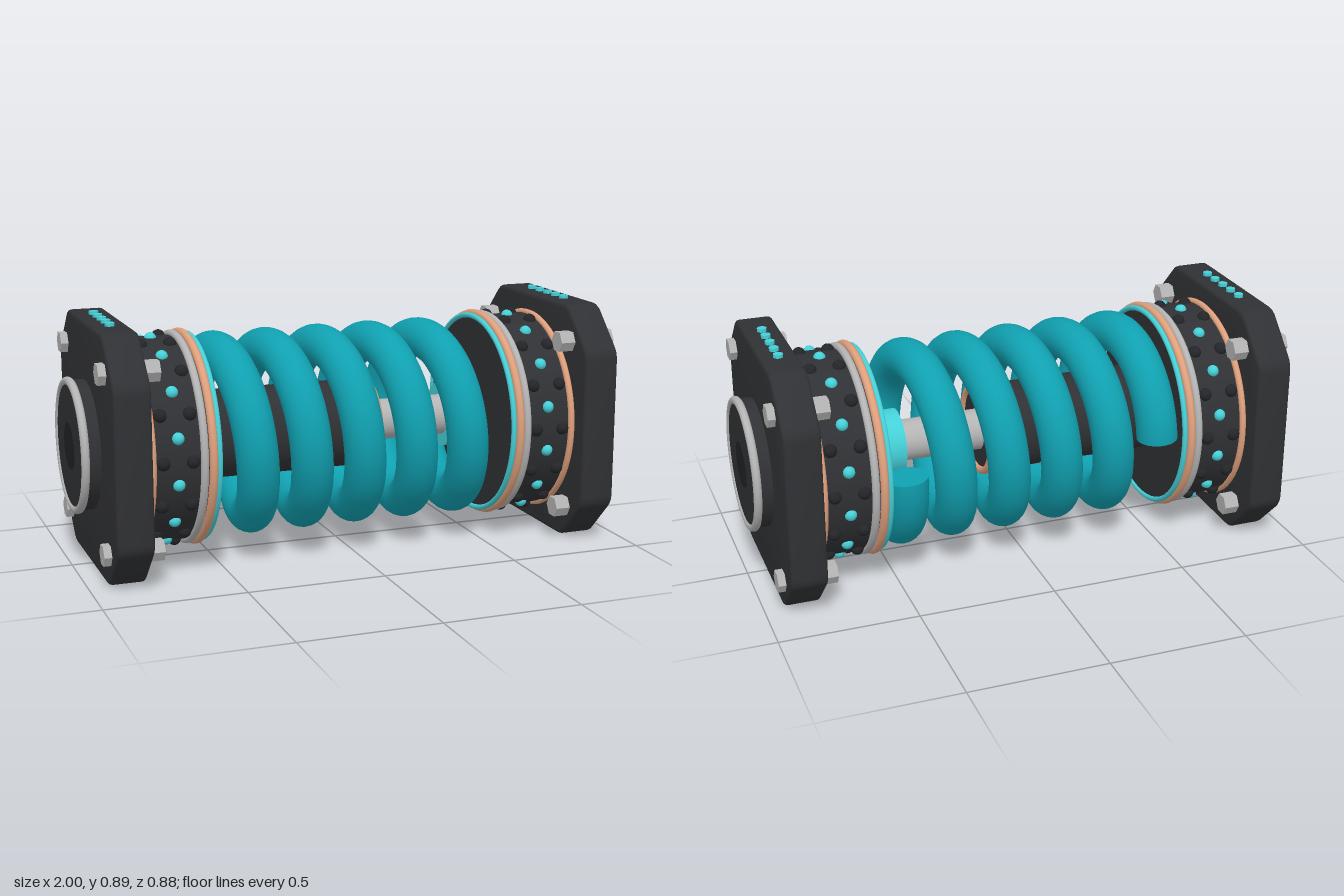
import * as THREE from 'three';
import { toCreasedNormals } from 'three/addons/utils/BufferGeometryUtils.js';

const mat = (color) => new THREE.MeshStandardMaterial({ color });
const DARK = mat(0x303134), BLACK = mat(0x202123), STUD = mat(0x242528);
const STEEL = mat(0xb4b4b4), COPPER = mat(0xdfa07c);
const TEAL = mat(0x10a0b0), CYAN = mat(0x45d0d8);

function add(parent, name, geometry, material, x = 0, y = 0, z = 0) {
  const mesh = new THREE.Mesh(geometry, material);
  mesh.name = name;
  mesh.position.set(x, y, z);
  parent.add(mesh);
  return mesh;
}

// Cylinder lying along x, from x0 to x1
function rod(parent, name, r, x0, x1, material, y = 0, z = 0, sides = 64) {
  const g = new THREE.CylinderGeometry(r, r, Math.abs(x1 - x0), sides).rotateZ(-Math.PI / 2);
  return add(parent, name, sides < 12 ? toCreasedNormals(g, 0.5) : g, material, (x0 + x1) / 2, y, z);
}

// Ring around the x axis
function ring(parent, name, R, tube, x, material) {
  return add(parent, name, new THREE.TorusGeometry(R, tube, 12, 80).rotateY(Math.PI / 2), material, x);
}

// Square plate with cut, slightly rounded corners and bevelled rims
function plateGeometry(half, cut, thickness, bevel) {
  const h = half - bevel, c = h - cut, k = 0.025;
  const pts = [[c, h], [h, c], [h, -c], [c, -h], [-c, -h], [-h, -c], [-h, c], [-c, h]]
    .map(([x, y]) => new THREE.Vector2(x, y));
  const shape = new THREE.Shape();
  pts.forEach((p, i) => {
    const prev = pts[(i + 7) % 8], next = pts[(i + 1) % 8];
    const a = p.clone().add(prev.clone().sub(p).setLength(k));
    const b = p.clone().add(next.clone().sub(p).setLength(k));
    if (i === 0) shape.moveTo(a.x, a.y); else shape.lineTo(a.x, a.y);
    shape.quadraticCurveTo(p.x, p.y, b.x, b.y);
  });
  shape.closePath();
  const g = new THREE.ExtrudeGeometry(shape, {
    depth: thickness - 2 * bevel, bevelThickness: bevel, bevelSize: bevel, bevelSegments: 3, curveSegments: 4,
  });
  g.translate(0, 0, -(thickness / 2 - bevel)).rotateY(Math.PI / 2);
  return toCreasedNormals(g, 0.6);
}

// Helix along x with slightly flattened end turns
class SpringCurve extends THREE.Curve {
  getPoint(t, target = new THREE.Vector3()) {
    const u = (t - 0.5) * 5, a = Math.abs(u);
    const x = Math.sign(u) * (a < 2.25 ? 0.2 * a : 0.45 + 0.1 * (a - 2.25));
    const angle = t * 5 * Math.PI * 2;
    return target.set(x, 0.296 * Math.sin(angle), -0.296 * Math.cos(angle));
  }
}

function spring(parent) {
  const curve = new SpringCurve(), r = 0.075;
  add(parent, 'spring', new THREE.TubeGeometry(curve, 400, r, 24), TEAL);
  for (const t of [0, 1]) {
    const cap = add(parent, 'springEndCap', new THREE.CircleGeometry(r, 24), TEAL);
    const dir = curve.getTangent(t).multiplyScalar(t ? 1 : -1);
    cap.position.copy(curve.getPoint(t));
    cap.quaternion.setFromUnitVectors(new THREE.Vector3(0, 0, 1), dir);
  }
}

// One end: mounting plate, hub, bolts, lights and studded collar; s is the side of x
function endAssembly(s) {
  const end = new THREE.Group();
  end.name = s > 0 ? 'leftEnd' : 'rightEnd';
  add(end, 'mountingPlate', plateGeometry(0.438, 0.148, 0.13, 0.014), DARK, s * 0.865);

  // Hub on the outer face
  rod(end, 'hub', 0.23, s * 0.92, s * 0.992, DARK);
  ring(end, 'hubRing', 0.227, 0.015, s * 0.984, STEEL);
  rod(end, 'hubBore', 0.083, s * 0.98, s * 0.995, BLACK);

  // Hexagonal through bolts
  for (const y of [-0.312, 0.312]) for (const z of [-0.312, 0.312]) {
    rod(end, 'bolt', 0.04, s * 0.745, s * 0.957, STEEL, y, z, 6);
  }

  // Row of indicator lights on the top edge
  for (let i = -2; i <= 2; i++) {
    add(end, 'indicatorLight', new THREE.CylinderGeometry(0.017, 0.017, 0.03, 20), CYAN, s * 0.865, 0.435, i * 0.064);
  }

  // Collar with trim rings
  rod(end, 'collar', 0.366, s * 0.552, s * 0.81, DARK);
  ring(end, 'outerTrimRing', 0.368, 0.012, s * 0.785, COPPER);
  ring(end, 'steelTrimRing', 0.37, 0.014, s * 0.606, STEEL);
  ring(end, 'copperTrimRing', 0.374, 0.015, s * 0.576, COPPER);
  ring(end, 'glowRing', 0.368, 0.01, s * 0.553, CYAN);

  // Lights in the middle row, dark studs in the two staggered rows
  const stud = new THREE.SphereGeometry(0.024, 16, 12);
  const light = new THREE.SphereGeometry(0.022, 16, 12);
  for (let i = 0; i < 14; i++) {
    const a = (i / 14) * Math.PI * 2, b = ((i + 0.5) / 14) * Math.PI * 2;
    add(end, 'collarLight', light, CYAN, s * 0.694, 0.362 * Math.cos(a), 0.362 * Math.sin(a));
    for (const x of [0.645, 0.749]) {
      add(end, 'collarStud', stud, STUD, s * x, 0.363 * Math.cos(b), 0.363 * Math.sin(b));
    }
  }
  return end;
}

export function createModel() {
  const model = new THREE.Group();
  model.name = 'springDamper';
  const body = new THREE.Group();
  body.name = 'damperBody';
  body.position.y = 0.44;
  model.add(body);

  body.add(endAssembly(1), endAssembly(-1));
  spring(body);

  // Damper inside the spring
  rod(body, 'damperTube', 0.16, -0.56, 0.115, DARK);
  rod(body, 'tubeBand', 0.164, -0.123, -0.098, CYAN);
  ring(body, 'tubeEndRing', 0.155, 0.015, 0.113, COPPER);
  rod(body, 'pistonRod', 0.075, 0.1, 0.45, STEEL);
  rod(body, 'rodSocket', 0.12, 0.42, 0.56, CYAN);
  return model;
}
